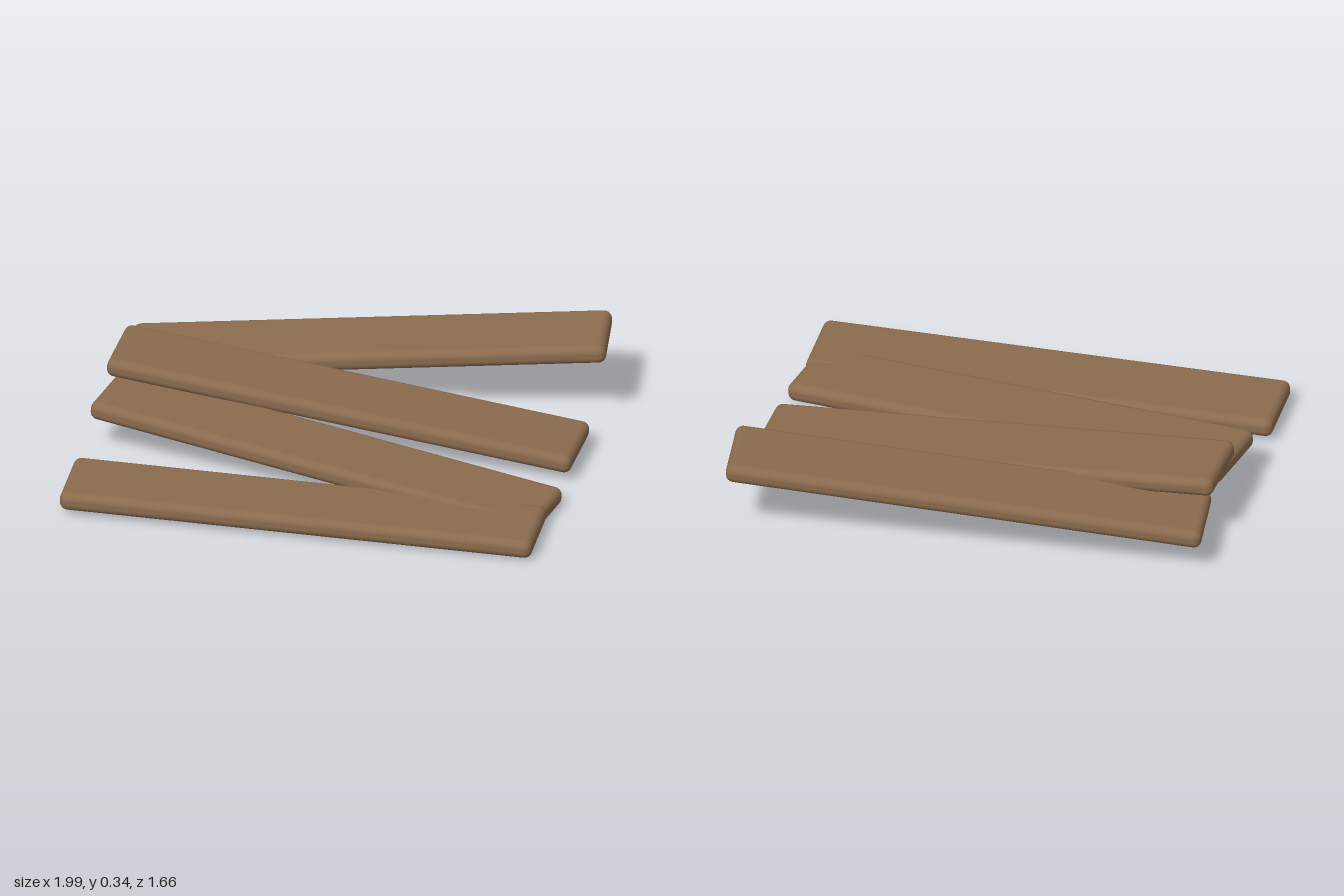
import * as THREE from 'three';
import { RoundedBoxGeometry } from 'three/addons/geometries/RoundedBoxGeometry.js';

export function createModel() {
  const group = new THREE.Group();
  group.name = 'plankPile';

  const wood = new THREE.MeshStandardMaterial({ color: 0x8b6b4e });
  wood.name = 'brown wood';

  // One soft-edged board shared by all planks
  const board = new RoundedBoxGeometry(1.972, 0.08, 0.346, 4, 0.033);

  // Each plank: name, centre, yaw (swing seen from above), pitch (rise towards +x)
  const planks = [
    ['frontPlank', [-0.003, 0.058, 0.606], 0.05, -0.008],
    ['leaningPlank', [0, 0.113, 0.232], -0.148, -0.073],
    ['middlePlank', [0, 0.172, -0.131], 0, -0.099],
    ['backPlank', [-0.004, 0.23, -0.508], 0.163, 0.08],
  ];

  for (const [name, centre, yaw, pitch] of planks) {
    const plank = new THREE.Mesh(board, wood);
    plank.name = name;
    plank.position.set(...centre);
    plank.rotation.set(0, yaw, pitch, 'YZX');
    group.add(plank);
  }
  return group;
}
